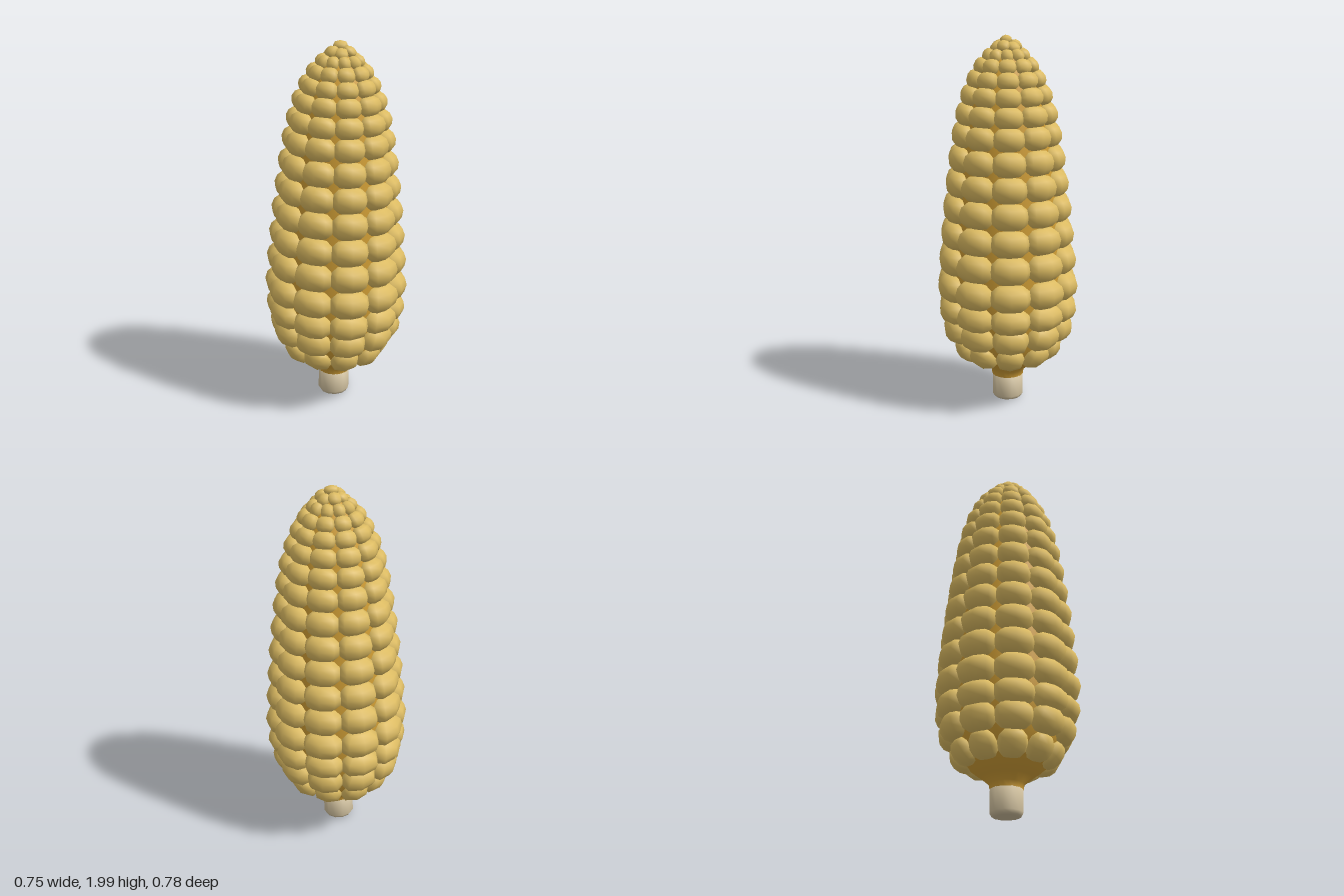
import * as THREE from 'three';
import { mergeVertices } from 'three/addons/utils/BufferGeometryUtils.js';

const COLUMNS = 10;

// Outer crest of each kernel row: [radius, height], bottom to top
const ROWS = [
  [0.275, 0.275], [0.355, 0.41], [0.383, 0.54], [0.39, 0.68], [0.38, 0.83], [0.367, 0.97],
  [0.353, 1.11], [0.336, 1.245], [0.318, 1.375], [0.298, 1.5], [0.275, 1.61], [0.245, 1.71],
  [0.208, 1.795], [0.165, 1.865], [0.115, 1.92],
];

// Low-sided ellipsoid with slightly squared flanks, unit half-sizes
function kernelGeometry() {
  const geo = new THREE.SphereGeometry(1, 8, 6);
  geo.deleteAttribute('uv');
  geo.deleteAttribute('normal');
  const p = geo.attributes.position;
  const swell = (v, e) => Math.sign(v) * Math.pow(Math.abs(v), e);
  for (let i = 0; i < p.count; i++) {
    p.setX(i, swell(p.getX(i), 0.7));
    p.setY(i, swell(p.getY(i), 0.95));
  }
  const merged = mergeVertices(geo, 1e-3);
  merged.computeVertexNormals();
  return merged;
}

function lathe(points, sides, material, name) {
  const geo = new THREE.LatheGeometry(points.map(([r, y]) => new THREE.Vector2(r, y)), sides);
  const mesh = new THREE.Mesh(geo, material);
  mesh.name = name;
  return mesh;
}

export function createModel() {
  const kernelYellow = new THREE.MeshStandardMaterial({ color: 0xdcbb62 });
  kernelYellow.name = 'kernelYellow';
  const cobGold = new THREE.MeshStandardMaterial({ color: 0xcf9d35 });
  cobGold.name = 'cobGold';
  const stemTan = new THREE.MeshStandardMaterial({ color: 0xcdbd9b });
  stemTan.name = 'stemTan';

  const model = new THREE.Group();
  model.name = 'cornCob';
  const ear = new THREE.Group();
  ear.name = 'ear';
  model.add(ear);

  // Stem with a bevelled foot
  ear.add(lathe([[0, 0.008], [0.06, 0.008], [0.075, 0.012], [0.086, 0.03], [0.086, 0.147], [0, 0.147]], 12, stemTan, 'stem'));

  // Core under the kernels
  ear.add(lathe([
    [0.086, 0.145], [0.09, 0.175], [0.13, 0.21], [0.21, 0.27], [0.275, 0.38], [0.308, 0.54], [0.312, 0.7],
    [0.3, 0.9], [0.283, 1.11], [0.262, 1.3], [0.235, 1.5], [0.192, 1.7], [0.125, 1.85], [0.07, 1.92], [0, 1.955],
  ], 20, cobGold, 'core'));

  const geo = kernelGeometry();
  const addKernel = (parent, r, y, tilt, w, h, d) => {
    const kernel = new THREE.Mesh(geo, kernelYellow);
    kernel.name = 'kernel';
    kernel.scale.set(w, h, d);
    kernel.rotation.x = -tilt;
    kernel.position.set(0, y - d * Math.sin(tilt), r - d * Math.cos(tilt));
    parent.add(kernel);
  };

  // Straight columns of kernels, each leaning with the crest line
  const crest = [[0.16, 0.19], ...ROWS, [0.06, 1.96]];
  for (let c = 0; c < COLUMNS; c++) {
    const column = new THREE.Group();
    column.name = 'kernelColumn';
    column.rotation.y = (c / COLUMNS) * Math.PI * 2;
    ROWS.forEach(([r, y], i) => {
      const [r0, y0] = crest[i];
      const [r1, y1] = crest[i + 2];
      const tilt = Math.atan2(r0 - r1, y1 - y0);
      const w = 0.28 * r;
      const h = Math.hypot(r1 - r0, y1 - y0) * 0.262;
      addKernel(column, r, y, tilt, w, h, Math.max(0.75 * w, 0.034));
    });
    ear.add(column);
  }

  // Small crowded kernels at the tip
  for (let i = 0; i < 6; i++) {
    const tip = new THREE.Group();
    tip.name = 'tipKernel';
    tip.rotation.y = ((i + 0.5) / 6) * Math.PI * 2;
    addKernel(tip, 0.068, 1.958 + (i % 2) * 0.008, 0.95, 0.034, 0.034, 0.026);
    ear.add(tip);
  }
  const apex = new THREE.Group();
  apex.name = 'apexKernel';
  apex.rotation.y = 0.5;
  addKernel(apex, 0.005, 1.997, 1.4, 0.038, 0.03, 0.026);
  ear.add(apex);

  // Slight lean of the whole ear
  ear.rotation.z = -0.02;
  ear.position.x = -0.021;
  return model;
}
